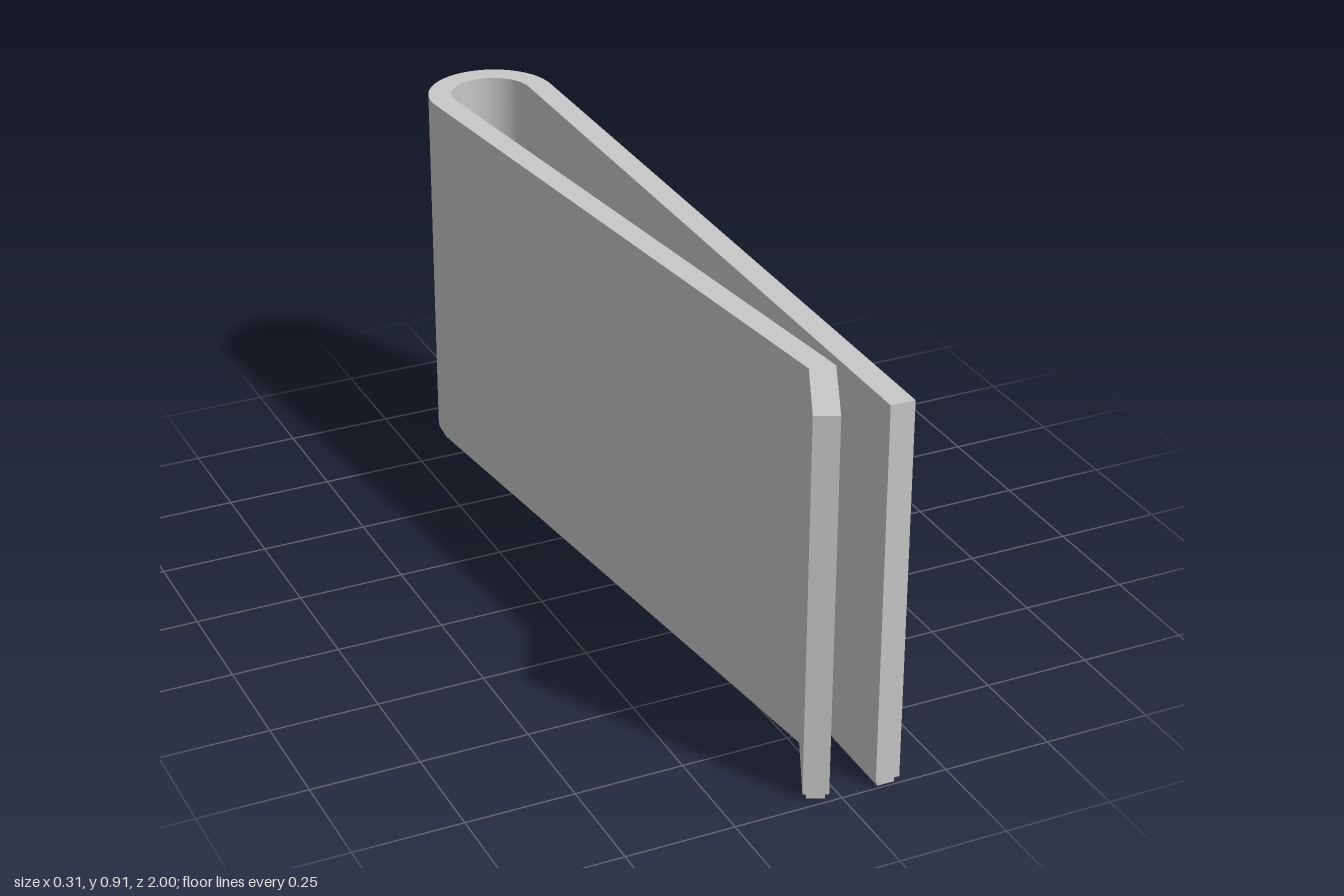
import * as THREE from 'three';
import { toCreasedNormals } from 'three/addons/utils/BufferGeometryUtils.js';

const HEIGHT = 0.908, STEP = 0.016, INSET = 0.008, HALF = 0.028;
const RADIUS = 0.125, BEND_Z = -0.847;

// Centre line of the bent strip, as (x, z) points
function centreLine(trim) {
  const pts = [new THREE.Vector2(0.108, 1)];
  const from = 0.0092, to = -Math.PI - 0.0992, n = 40;
  for (let i = 0; i <= n; i++) {
    const a = from + (to - from) * i / n;
    pts.push(new THREE.Vector2(RADIUS * Math.cos(a), BEND_Z + RADIUS * Math.sin(a)));
  }
  pts.push(new THREE.Vector2(0.037, 0.793), new THREE.Vector2(-0.055, 0.986));
  // Shorten both free ends
  const shorten = (end, next) => end.add(next.clone().sub(end).setLength(trim));
  if (trim > 0) {
    shorten(pts[0], pts[1]);
    shorten(pts[pts.length - 1], pts[pts.length - 2]);
  }
  return pts;
}

// Strip of constant thickness with mitred corners, extruded upwards
function stripGeometry(half, trim, y0, y1) {
  const pts = centreLine(trim), sideA = [], sideB = [];
  const normal = (a, b) => {
    const d = b.clone().sub(a).normalize();
    return new THREE.Vector2(-d.y, d.x);
  };
  pts.forEach((p, i) => {
    const n0 = normal(pts[Math.max(i - 1, 0)], pts[Math.max(i, 1)]);
    const n1 = i < pts.length - 1 ? normal(p, pts[i + 1]) : n0;
    const m = n0.clone().add(n1).normalize();
    m.multiplyScalar(half / m.dot(n0));
    sideA.push(new THREE.Vector2(p.x + m.x, -(p.y + m.y)));
    sideB.push(new THREE.Vector2(p.x - m.x, -(p.y - m.y)));
  });
  const shape = new THREE.Shape([...sideA, ...sideB.reverse()]);
  const geo = new THREE.ExtrudeGeometry(shape, { depth: y1 - y0, bevelEnabled: false });
  geo.rotateX(-Math.PI / 2);
  geo.translate(0, y0, 0);
  return toCreasedNormals(geo, 0.3);
}

export function createModel() {
  const group = new THREE.Group();
  group.name = 'springClip';
  const grey = new THREE.MeshStandardMaterial({ color: 0xc8c8c8 });
  grey.name = 'light grey';

  const add = (name, geo) => {
    const mesh = new THREE.Mesh(geo, grey);
    mesh.name = name;
    group.add(mesh);
  };
  // Main folded strip, and the slightly narrower foot under it
  add('clipStrip', stripGeometry(HALF, 0, STEP, HEIGHT));
  add('insetFoot', stripGeometry(HALF - INSET, INSET, 0, STEP));
  return group;
}
